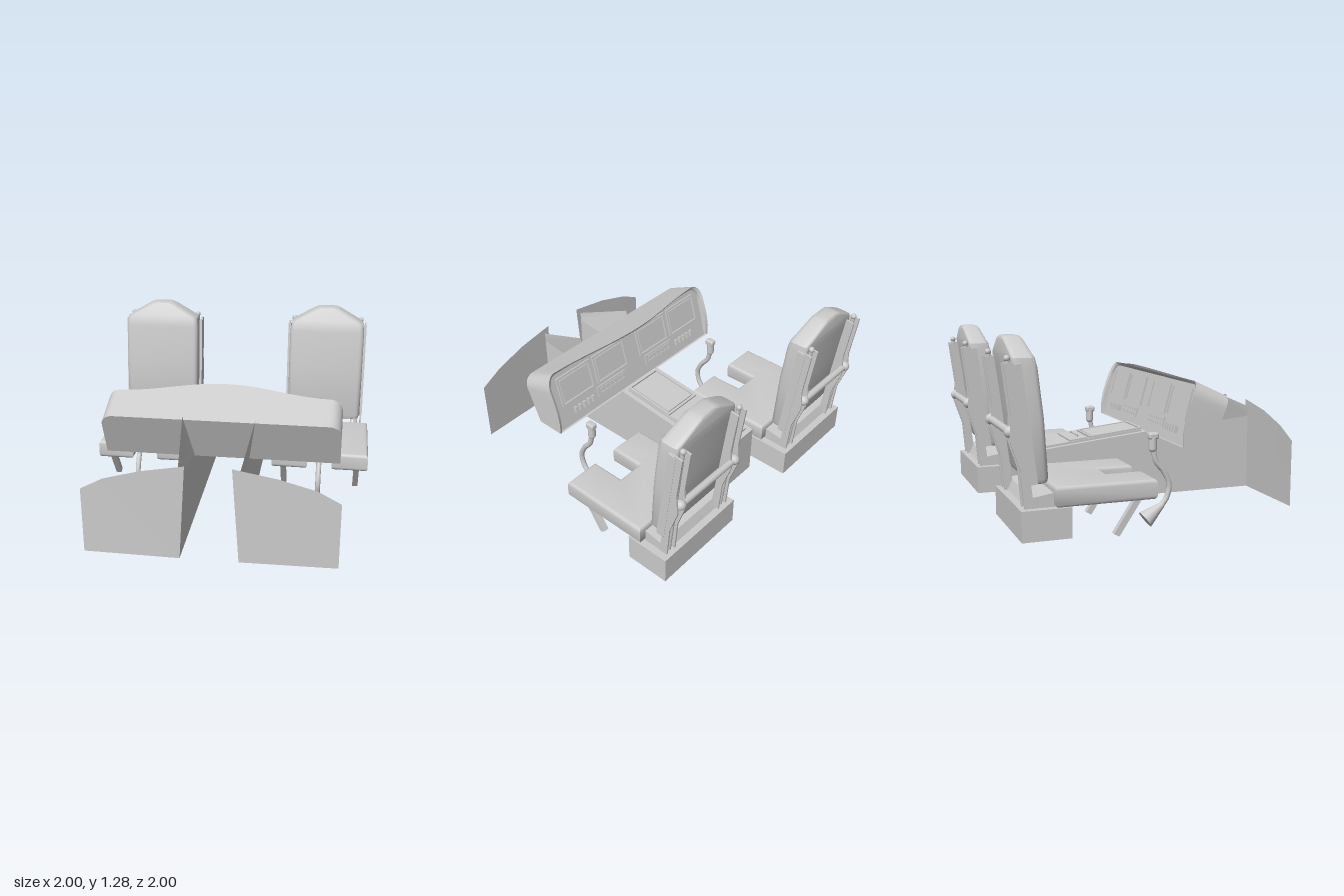
import * as THREE from 'three';
import { toCreasedNormals } from 'three/addons/utils/BufferGeometryUtils.js';
import { RoundedBoxGeometry } from 'three/addons/geometries/RoundedBoxGeometry.js';

const grey = new THREE.MeshStandardMaterial({ color: 0xcccccc, side: THREE.DoubleSide });
const oneSided = new THREE.MeshStandardMaterial({ color: 0xcccccc });

function add(parent, name, geo, x = 0, y = 0, z = 0, mat = grey) {
  const mesh = new THREE.Mesh(geo, mat);
  mesh.name = name;
  mesh.position.set(x, y, z);
  parent.add(mesh);
  return mesh;
}
function group(parent, name, x = 0, y = 0, z = 0) {
  const g = new THREE.Group();
  g.name = name;
  g.position.set(x, y, z);
  parent.add(g);
  return g;
}
const box = (w, h, d) => new THREE.BoxGeometry(w, h, d);
const shapeOf = pts => new THREE.Shape(pts.map(p => new THREE.Vector2(...p)));

// Flat convex polygon from 3D corners
function sheet(pts) {
  const geo = new THREE.BufferGeometry().setFromPoints(pts.map(p => new THREE.Vector3(...p)));
  const index = [];
  for (let i = 1; i < pts.length - 1; i++) index.push(0, i, i + 1);
  geo.setIndex(index);
  geo.computeVertexNormals();
  return geo;
}
// Surface through closed rings of equal length, with optional end caps
function loft(rings, capStart, capEnd, crease = 0.7) {
  const n = rings[0].length, pos = rings.flat(2), index = [];
  for (let r = 0; r < rings.length - 1; r++) {
    for (let i = 0; i < n; i++) {
      const a = r * n + i, b = r * n + (i + 1) % n;
      index.push(a, a + n, b, b, a + n, b + n);
    }
  }
  const cap = (r, flip) => {
    const c = pos.length / 3;
    for (let k = 0; k < 3; k++) pos.push(rings[r].reduce((s, p) => s + p[k], 0) / n);
    for (let i = 0; i < n; i++) {
      const a = r * n + i, b = r * n + (i + 1) % n;
      index.push(c, flip ? b : a, flip ? a : b);
    }
  };
  if (capStart) cap(0, false);
  if (capEnd) cap(rings.length - 1, true);
  const geo = new THREE.BufferGeometry();
  geo.setAttribute('position', new THREE.Float32BufferAttribute(pos, 3));
  geo.setIndex(index);
  return toCreasedNormals(geo, crease);
}
// Side profile of [z, y] points given a width along x
function sidePlate(pts, width) {
  const geo = new THREE.ExtrudeGeometry(shapeOf(pts), { depth: width, bevelEnabled: false });
  return geo.rotateY(-Math.PI / 2).translate(width / 2, 0, 0);
}
function rod(parent, name, a, b, r0, r1 = r0, sides = 16) {
  const A = new THREE.Vector3(...a), B = new THREE.Vector3(...b), d = B.clone().sub(A);
  const mesh = add(parent, name, new THREE.CylinderGeometry(r1, r0, d.length(), sides));
  mesh.position.copy(A).add(B).multiplyScalar(0.5);
  mesh.quaternion.setFromUnitVectors(new THREE.Vector3(0, 1, 0), d.normalize());
}
function frame(w, h, t, depth) {
  const rect = (a, b) => [[-a, -b], [a, -b], [a, b], [-a, b]];
  const s = shapeOf(rect(w / 2, h / 2));
  s.holes.push(new THREE.Path(rect(w / 2 - t, h / 2 - t).map(p => new THREE.Vector2(...p))));
  return new THREE.ExtrudeGeometry(s, { depth, bevelEnabled: false }).translate(0, 0, -depth / 2);
}

function buildSeat(root, x) {
  const seat = group(root, 'seat', x);

  // Cushion with a notch for the stick
  const outline = [[-0.35, 0.71], [-0.35, 0.06], [-0.09, 0.06], [-0.09, 0.3],
    [0.09, 0.3], [0.09, 0.06], [0.35, 0.06], [0.35, 0.71]];
  const cushion = new THREE.ExtrudeGeometry(shapeOf(outline), {
    depth: 0.08, bevelSize: 0.025, bevelThickness: 0.025, bevelOffset: -0.025, bevelSegments: 4
  }).rotateX(-Math.PI / 2);
  add(seat, 'seatCushion', toCreasedNormals(cushion, 0.7), 0, 0.295, 0);

  // Backrest: rounded sections [y, halfWidth, zFront, zBack]
  const levels = [[0.405, 0.255, -0.75, -0.82], [0.415, 0.275, -0.735, -0.835], [0.44, 0.285, -0.73, -0.845],
    [0.8, 0.285, -0.752, -0.895], [1.1, 0.285, -0.787, -0.937], [1.16, 0.275, -0.8, -0.945],
    [1.18, 0.25, -0.81, -0.947], [1.26, 0.11, -0.83, -0.953], [1.275, 0.08, -0.84, -0.945], [1.28, 0.06, -0.86, -0.93]];
  const rings = levels.map(([y, w, zf, zb]) => {
    const r = Math.min(0.035, w / 2, (zf - zb) / 2.2), ring = [];
    for (let c = 0; c < 4; c++) {
      for (let i = 0; i <= 4; i++) {
        const a = (c + i / 4) * Math.PI / 2;
        const sx = c === 0 || c === 3 ? 1 : -1;
        const cz = c < 2 ? zf - r : zb + r;
        ring.push([sx * (w - r) + r * Math.cos(a), y, cz + r * Math.sin(a)]);
      }
    }
    return ring;
  });
  add(seat, 'backrest', loft(rings, true, true));

  // Base and the bracket tying it to cushion and backrest
  add(seat, 'seatBase', box(0.7, 0.19, 0.31), 0, 0.175, -0.765);
  add(seat, 'seatBracket', sidePlate([[-0.68, 0.27], [-0.68, 0.36], [-0.84, 0.335], [-0.87, 0.27]], 0.6));

  // Back rails, cross tube and legs
  const rail = [[-0.83, 0.27], [-0.89, 0.27], [-0.91, 0.5], [-0.97, 0.68], [-0.96, 0.82], [-1, 1.13], [-0.94, 1.14]];
  for (const s of [-1, 1]) {
    add(seat, 'outerRail', sidePlate(rail, 0.012), s * 0.297);
    add(seat, 'innerRail', sidePlate(rail, 0.012), s * 0.222);
    rod(seat, 'railRod', [s * 0.26, 0.28, -0.87], [s * 0.26, 1.17, -0.97], 0.014);
    add(seat, 'rodCap', new THREE.SphereGeometry(0.02, 12, 8), s * 0.26, 1.16, -0.97);
    add(seat, 'railBracket', box(0.02, 0.72, 0.06), s * 0.295, 0.77, -0.88).rotation.x = -0.125;
    add(seat, 'tubeEnd', new THREE.SphereGeometry(0.036, 14, 10), s * 0.26, 0.73, -0.96);
    const leg = [[-0.13, 0.28], [-0.18, 0.28], [-0.325, 0.06], [-0.29, 0.04]];
    add(seat, 'seatLeg', sidePlate(leg, 0.04), s * 0.272);
  }
  rod(seat, 'crossTube', [-0.26, 0.73, -0.96], [0.26, 0.73, -0.96], 0.024);
}

function buildStick(root, x) {
  const stick = group(root, 'controlStick', x);
  rod(stick, 'stickFoot', [0, 0.045, 0], [0, 0.14, 0.125], 0.06, 0.019, 24);
  const path = [[0.12, 0.135], [0.155, 0.19], [0.168, 0.27], [0.13, 0.36], [0.075, 0.43], [0.052, 0.52]];
  const curve = new THREE.CatmullRomCurve3(path.map(([z, y]) => new THREE.Vector3(0, y, z)));
  add(stick, 'stickTube', new THREE.TubeGeometry(curve, 32, 0.018, 12));
  add(stick, 'stickGrip', new THREE.CapsuleGeometry(0.027, 0.07, 6, 16), 0, 0.555, 0.05);
  add(stick, 'gripHead', new RoundedBoxGeometry(0.05, 0.045, 0.07, 3, 0.015), 0, 0.603, 0.053);
}

function buildConsole(root) {
  const con = group(root, 'centreConsole');
  for (const s of [-1, 1]) {
    const x = s * 0.19;
    add(con, 'consoleWall', sheet([[x, 0.09, 1], [x, 0.62, 1], [x, 0.56, 0.4], [x, 0.54, 0.2], [x, 0.44, -0.7], [x, 0.09, -0.7]]));
    add(con, 'wallFlare', sheet([[x, 0.62, 1], [x, 0.69, 1], [s * 0.24, 0.88, 0.55], [x, 0.56, 0.4]]));
  }
  add(con, 'consoleBack', sheet([[-0.19, 0.09, -0.7], [-0.19, 0.44, -0.7], [0.19, 0.44, -0.7], [0.19, 0.09, -0.7]]));
  add(con, 'consoleFloor', sheet([[-0.19, 0.09, -0.7], [0.19, 0.09, -0.7], [0.19, 0.09, 1], [-0.19, 0.09, 1]]), 0, 0, 0, oneSided);

  // Sloping top with its fittings
  const top = group(con, 'consoleTop', 0, 0.54, 0.2);
  top.rotation.x = -0.11;
  add(top, 'topPlate', box(0.38, 0.02, 0.905), 0, 0, -0.453);
  add(top, 'raisedPlate', box(0.31, 0.02, 0.84), 0, 0.015, -0.45);
  add(top, 'trayFrame', frame(0.3, 0.39, 0.014, 0.014), 0, 0.031, -0.22).rotation.x = Math.PI / 2;
  add(top, 'trayLid', box(0.25, 0.012, 0.34), 0, 0.029, -0.22);
  add(top, 'switchPanel', box(0.3, 0.012, 0.13), 0, 0.03, -0.495);
  add(top, 'switchSlot', box(0.13, 0.012, 0.008), 0, 0.038, -0.475);
  for (const s of [-1, 1]) add(top, 'switchKnob', new THREE.CylinderGeometry(0.008, 0.008, 0.02, 10), s * 0.075, 0.04, -0.485);
  add(top, 'trimStem', new THREE.CylinderGeometry(0.012, 0.016, 0.05, 12), 0, 0.045, -0.73);
  add(top, 'trimHandle', new THREE.SphereGeometry(1, 20, 10), 0, 0.072, -0.73).scale.set(0.062, 0.01, 0.024);
}

function buildDashboard(root) {
  const dash = group(root, 'dashboard');

  // Arch outline as [x, h], h running from the bottom (0) to the hood (1)
  const half = [[0.8, 0], [0.8, 0.2], [0.8, 0.4], [0.8, 0.6]];
  for (let i = 0; i <= 6; i++) {
    const a = i / 6 * Math.PI / 2;
    half.push([0.72 + 0.08 * Math.cos(a), 0.76 + 0.24 * Math.sin(a)]);
  }
  for (let i = 1; i < 10; i++) half.push([0.72 * (1 - i / 10), 1]);
  const arch = [...half, [0, 1], ...half.map(([x, h]) => [-x, h]).reverse()];
  const bump = x => 0.5 + 0.5 * Math.cos(Math.PI * Math.min(1, Math.abs(x) / 0.74));
  const front = arch.map(([x, h]) => [x, 0.54 + 0.315 * h, 0.4 + 0.135 * h]);
  const rear = arch.map(([x, h]) => [x, 0.54 + 0.42 * h + 0.04 * bump(x) * h,
    0.2 + 0.11 * Math.max(0, (h - 0.2) / 0.8) ** 1.5 - 0.1 * bump(x) * h]);
  const inner = rear.map(([x, y, z]) => [x * 0.975, 0.54 + (y - 0.54) * 0.965, z + 0.006]);
  const panel = arch.map(([x, h]) => [x * 0.97, 0.54 + 0.395 * h, 0.215 + 0.106 * h]);
  add(dash, 'dashShell', loft([front, rear, inner, panel], true, true, 0.5));

  // Instruments lie on the tilted panel and stick out toward the seats
  const inst = group(dash, 'instruments', 0, 0.54, 0.21);
  inst.rotation.x = 0.262;
  for (const s of [-1, 1]) {
    for (const x of [0.22, 0.56]) {
      add(inst, 'screenFrame', frame(0.31, 0.215, 0.014, 0.02), s * x, 0.27, 0);
      add(inst, 'screen', box(0.26, 0.165, 0.012), s * x, 0.27, 0.001);
    }
    for (let i = 0; i < 5; i++) {
      add(inst, 'lever', box(0.02, 0.045, 0.025), s * (0.45 + i * 0.042), 0.09, -0.006);
    }
    add(inst, 'buttonPanel', box(0.29, 0.075, 0.014), s * 0.25, 0.105, 0);
    for (let i = 0; i < 12; i++) {
      add(inst, 'button', box(0.026, 0.018, 0.012), s * (0.145 + (i % 6) * 0.042), i < 6 ? 0.088 : 0.122, -0.01);
    }
  }
}

export function createModel() {
  const root = new THREE.Group();
  root.name = 'cockpit';
  buildConsole(root);
  buildDashboard(root);
  for (const s of [-1, 1]) {
    buildSeat(root, s * 0.65);
    buildStick(root, s * 0.65);
    // Front bulkhead panel
    const pts = [[0.19, 0.09], [0.82, 0.09], [0.82, 0.54], [0.67, 0.62], [0.43, 0.69], [0.148, 0.74]];
    add(root, 'bulkheadPanel', sheet(pts.map(([x, y]) => [s * x, y, x > 0.5 ? 0.99 : 1])));
  }
  return root;
}
